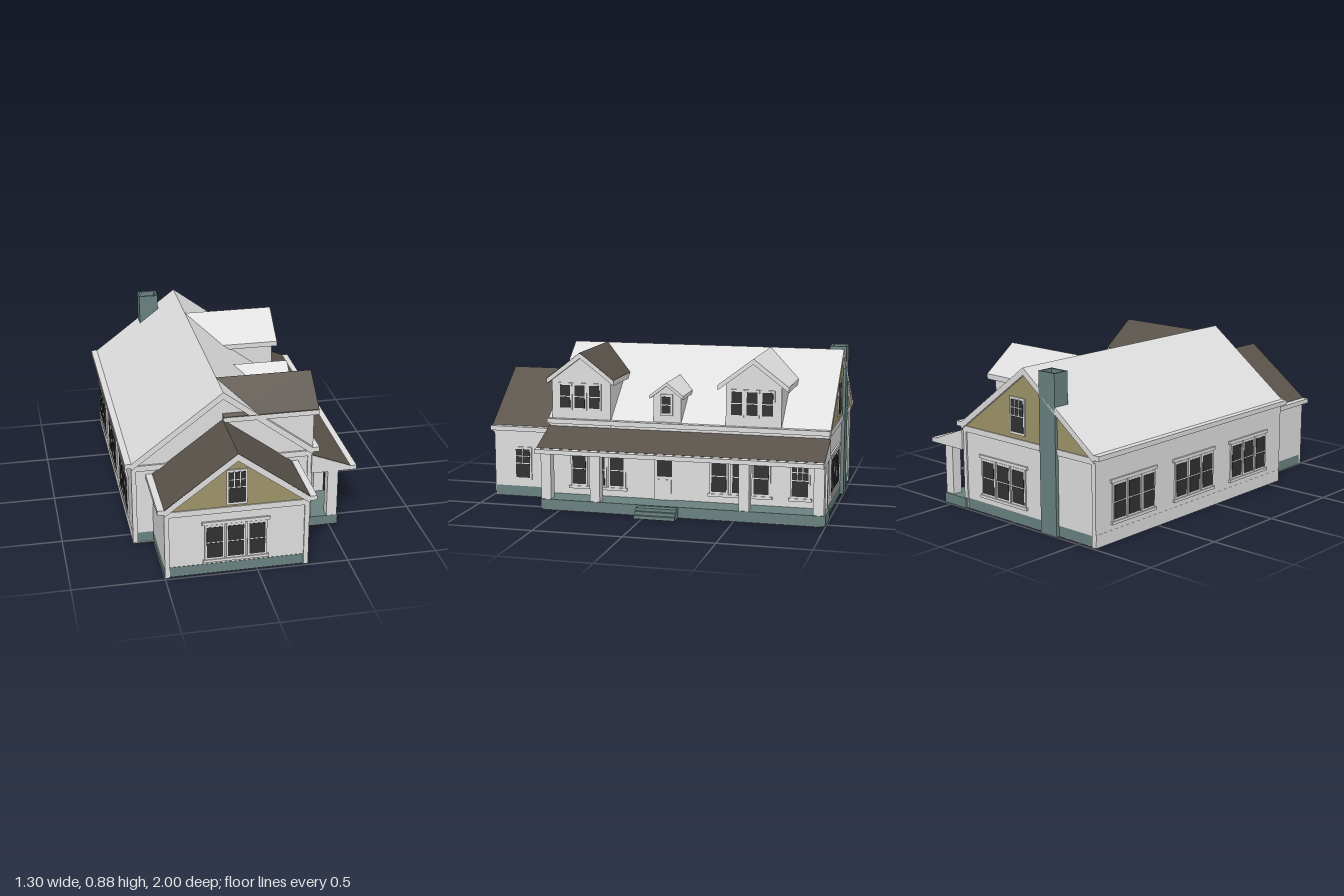
import * as THREE from 'three';

const mat = (name, color) => Object.assign(new THREE.MeshStandardMaterial({ color }), { name });

export function createModel() {
  const white = mat('pale siding', 0xdedede);
  const brown = mat('brown shingle', 0x59524a);
  const teal = mat('teal masonry', 0x698280);
  const olive = mat('olive gable', 0x9e946a);
  const dark = mat('dark glass', 0x313131);

  const house = new THREE.Group();
  house.name = 'house';

  const add = (name, geo, m, parent = house) => {
    const mesh = new THREE.Mesh(geo, m);
    mesh.name = name;
    parent.add(mesh);
    return mesh;
  };
  // Box given by its limits on each axis
  const box = (name, m, x0, x1, y0, y1, z0, z1, parent = house) => {
    const mesh = add(name, new THREE.BoxGeometry(x1 - x0, y1 - y0, z1 - z0), m, parent);
    mesh.position.set((x0 + x1) / 2, (y0 + y1) / 2, (z0 + z1) / 2);
    return mesh;
  };
  // Outline in x, y extruded from z0 to z1
  const prism = (name, m, pts, z0, z1, parent = house) => {
    const shape = new THREE.Shape(pts.map(p => new THREE.Vector2(p[0], p[1])));
    const geo = new THREE.ExtrudeGeometry(shape, { depth: z1 - z0, bevelEnabled: false });
    geo.translate(0, 0, z0);
    return add(name, geo, m, parent);
  };
  const chevron = (w, apex, eave, t) =>
    [[-w, eave], [-w, eave - t], [0, apex - t], [w, eave - t], [w, eave], [0, apex]];
  const gable = (w, base, eave, apex) =>
    [[-w, base], [w, base], [w, eave], [0, apex], [-w, eave]];
  const place = (name, x, y, z, rotY = 0) => {
    const g = new THREE.Group();
    g.name = name;
    g.position.set(x, y, z);
    g.rotation.y = rotY;
    house.add(g);
    return g;
  };

  // Row of sash windows facing local +z, centred on the given point
  const windows = (name, n, w, h, pitch, pos, rotY, cols = 1, trim = true) => {
    const g = place(name, ...pos, rotY);
    const half = ((n - 1) * pitch + w) / 2;
    if (trim) {
      box('windowHeader', white, -half - 0.025, half + 0.025, h / 2 + 0.012, h / 2 + 0.03, 0, 0.01, g);
      box('windowSill', white, -half - 0.02, half + 0.02, -h / 2 - 0.024, -h / 2 - 0.008, 0, 0.013, g);
    }
    for (let i = 0; i < n; i++) {
      const x = (i - (n - 1) / 2) * pitch;
      box('windowFrame', white, x - w / 2 - 0.01, x + w / 2 + 0.01, -h / 2 - 0.01, h / 2 + 0.01, 0, 0.008, g);
      for (const s of [-1, 1]) {
        const y = s * h / 4;
        box('windowPane', dark, x - w / 2, x + w / 2, y - h / 4 + 0.003, y + h / 4 - 0.003, 0.006, 0.01, g);
      }
      // Glazing bars in the upper sash
      for (let c = 1; c < cols; c++) {
        const bx = x - w / 2 + c * w / cols;
        box('glazingBar', white, bx - 0.002, bx + 0.002, 0, h / 2, 0.008, 0.0115, g);
      }
      if (cols > 1) box('glazingBar', white, x - w / 2, x + w / 2, h / 4 - 0.002, h / 4 + 0.002, 0.008, 0.0115, g);
    }
  };

  const CX = -0.11, RIGHT = Math.PI / 2, LEFT = -Math.PI / 2;

  // Foundations and underside
  box('mainFoundation', teal, -0.612, 0.395, 0.003, 0.06, -0.98, 0.59);
  box('wingFoundation', teal, -0.5, 0.28, 0.003, 0.06, 0.58, 0.982);
  box('porchFloor', teal, 0.375, 0.55, 0.003, 0.06, -1, 0.61);
  box('mainUnderside', white, -0.612, 0.55, 0, 0.003, -0.98, 0.6);
  box('wingUnderside', white, -0.5, 0.28, 0, 0.003, 0.6, 0.98);
  [[0.595, 0.055], [0.612, 0.038], [0.63, 0.019]].forEach(([x, y]) =>
    box('porchStep', teal, 0.54, x, 0, y, -0.187, 0.043));

  // Main block and wing share the same construction
  const block = (name, half, eave, apex, z0, z1, r0, r1, roofMat) => {
    const g = place(name, CX, 0, 0);
    prism('walls', white, gable(half, 0.06, eave - 0.012, apex - 0.012), z0, z1, g);
    prism('roof', white, chevron(half, apex - 0.002, eave - 0.002, 0.04), r0, r1, g);
    if (roofMat !== white) prism('roofShingles', roofMat, chevron(half, apex, eave, 0.006), r0, r1, g);
    for (const s of [-1, 1]) {
      const a = s * half, b = s * (half + 0.036);
      box('gutter', white, Math.min(a, b), Math.max(a, b), eave - 0.027, eave, r0, r1, g);
      const c = s * (half - 0.026);
      for (const [u, v] of [[z0 - 0.008, z0 + 0.01], [z1 - 0.01, z1 + 0.008]])
        box('cornerBoard', white, Math.min(a, c), Math.max(a, c), 0, eave - 0.03, u, v, g);
    }
    // Horizontal boards closing the gable ends
    for (const [u, v] of [[z0 - 0.01, z0 + 0.01], [z1 - 0.01, z1 + 0.01]])
      box('frieze', white, -half, half, eave - 0.055, eave - 0.022, u, v, g);
    return g;
  };
  const main = block('mainBlock', 0.505, 0.5, 0.88, -0.98, 0.59, -1, 0.61, white);
  const wing = block('frontWing', 0.39, 0.42, 0.71, 0.55, 0.98, 0.59, 1, brown);
  box('leftBaseBoard', white, -0.616, -0.61, 0, 0.07, -0.985, 0.597);

  // Coloured gable ends
  prism('rearGablePanel', olive, [[-0.48, 0.478], [0.48, 0.478], [0, 0.838]], -0.984, -0.978, main);
  prism('frontGablePanel', olive, [[-0.365, 0.398], [0.365, 0.398], [0, 0.67]], 0.978, 0.984, wing);

  // Dormers run back into the main roof
  const dormer = (z, half, apex, eave, t, wall, back, front, roofMat) => {
    const g = place('dormer', 0, 0, z, RIGHT);
    prism('dormerWalls', white, gable(wall, 0.46, apex - 0.01 - 0.75 * wall, apex - 0.01), back, front - 0.022, g);
    prism('dormerRoof', white, chevron(half, apex - 0.002, eave - 0.002, t), back, front, g);
    if (roofMat !== white) prism('dormerShingles', roofMat, chevron(half, apex, eave, 0.006), back, front, g);
  };
  dormer(0.413, 0.197, 0.88, 0.731, 0.03, 0.172, CX, 0.423, brown);
  dormer(-0.575, 0.197, 0.88, 0.731, 0.03, 0.155, CX, 0.423, white);
  dormer(-0.085, 0.096, 0.73, 0.657, 0.02, 0.08, 0.05, 0.412, white);
  windows('dormerWindows', 3, 0.06, 0.135, 0.086, [0.4, 0.628, 0.42], RIGHT, 1, false);
  windows('dormerWindows', 3, 0.06, 0.135, 0.086, [0.4, 0.628, -0.568], RIGHT, 1, false);
  windows('smallDormerWindow', 1, 0.052, 0.1, 0, [0.39, 0.6, -0.081], RIGHT, 1, false);

  // Porch roof, gutter and posts
  prism('porchRoof', white, [[0.39, 0.34], [0.618, 0.34], [0.618, 0.363], [0.39, 0.452]], -1, 0.61);
  prism('porchShingles', brown, [[0.395, 0.446], [0.616, 0.36], [0.616, 0.366], [0.395, 0.453]], -0.999, 0.609);
  box('porchGutter', white, 0.615, 0.65, 0.34, 0.365, -1, 0.61);
  for (const z of [0.58, 0.293, -0.553, -0.962])
    box('porchPost', white, 0.485, 0.545, 0.06, 0.34, z - 0.029, z + 0.029);

  // Front door
  const door = place('frontDoor', 0.395, 0, -0.075, RIGHT);
  box('doorFrame', white, -0.06, 0.06, 0.06, 0.33, 0, 0.008, door);
  box('doorLeaf', white, -0.047, 0.047, 0.06, 0.315, 0, 0.012, door);
  box('doorGlass', dark, -0.043, 0.043, 0.195, 0.302, 0.01, 0.014, door);
  for (const s of [-1, 1])
    box('doorPanel', white, s * 0.022 - 0.016, s * 0.022 + 0.016, 0.1, 0.178, 0.01, 0.016, door);

  // Wall windows
  windows('wingFrontWindows', 3, 0.086, 0.19, 0.115, [-0.117, 0.192, 0.98], 0);
  windows('wingGableWindow', 1, 0.092, 0.185, 0, [-0.113, 0.512, 0.983], 0, 3, false);
  windows('wingSideWindow', 1, 0.086, 0.175, 0, [0.28, 0.198, 0.813], RIGHT, 2, false);
  windows('porchWindows', 3, 0.08, 0.185, 0.112, [0.395, 0.213, 0.318], RIGHT);
  windows('porchWindows', 3, 0.085, 0.185, 0.119, [0.395, 0.213, -0.503], RIGHT);
  windows('porchSmallWindow', 1, 0.09, 0.185, 0, [0.395, 0.213, -0.838], RIGHT, 3);
  for (const z of [-0.7, -0.205, 0.285])
    windows('leftWindows', 3, 0.085, 0.19, 0.112, [-0.615, 0.22, z], LEFT);
  windows('rearWindows', 3, 0.09, 0.19, 0.118, [0.075, 0.21, -0.98], Math.PI);
  windows('rearGableWindow', 1, 0.092, 0.185, 0, [-0.05, 0.605, -0.983], Math.PI, 3, false);

  // Hollow chimney
  const rect = (C, a, b) => new C([[-a, -b], [a, -b], [a, b], [-a, b]].map(p => new THREE.Vector2(...p)));
  const flue = rect(THREE.Shape, 0.058, 0.048);
  flue.holes.push(rect(THREE.Path, 0.046, 0.036));
  const chimney = add('chimney', new THREE.ExtrudeGeometry(flue, { depth: 0.88, bevelEnabled: false }), teal);
  chimney.rotation.x = -Math.PI / 2;
  chimney.position.set(-0.285, 0, -0.952);
  box('chimneyFlue', dark, -0.332, -0.238, 0.79, 0.795, -0.989, -0.915);

  return house;
}
